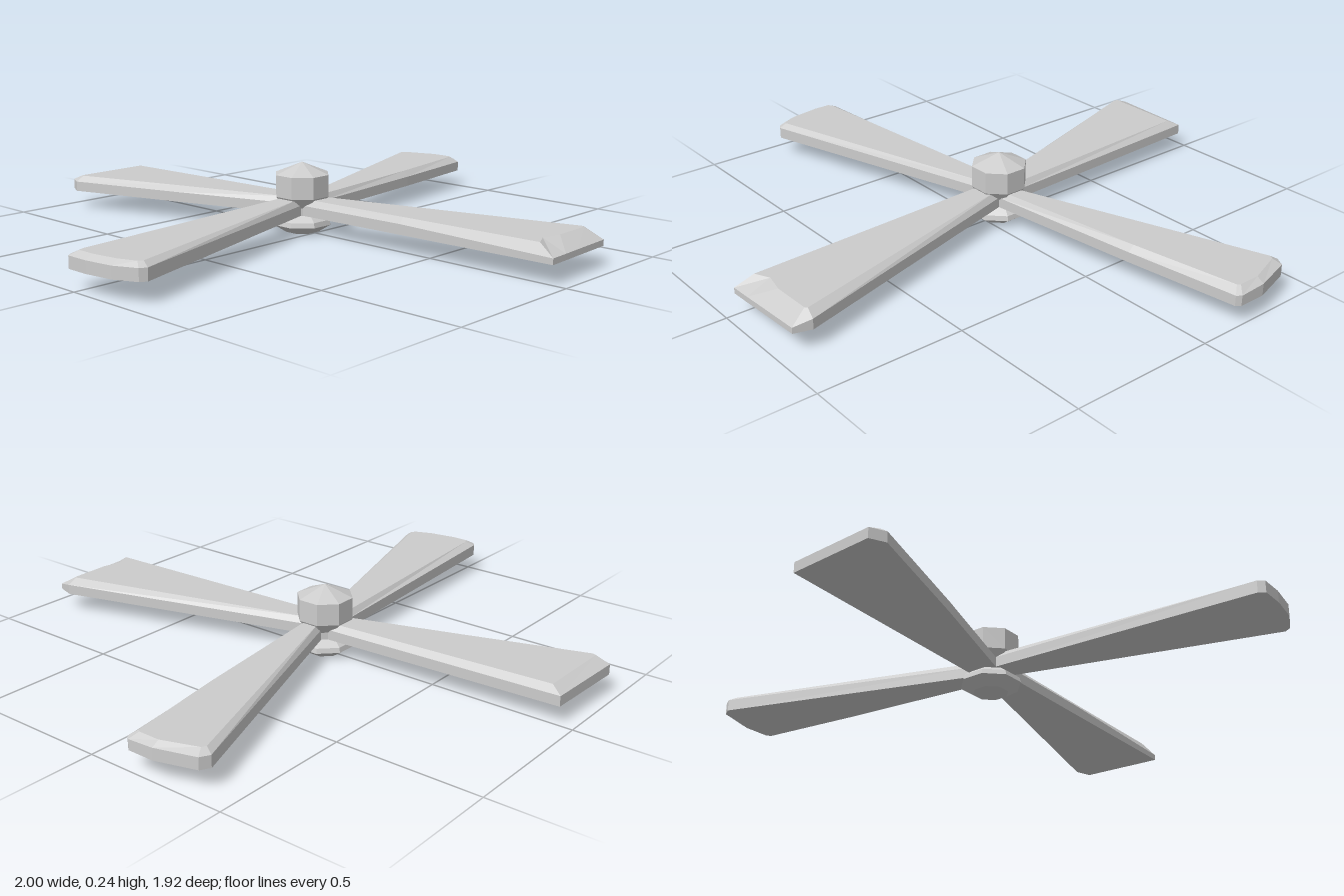
import * as THREE from 'three';

const BOTTOM = 0.065, TOP = 0.12;

// Each blade corner: [x, z, height of the side wall, x of top face, z of top face],
// listed counter-clockwise seen from above, starting and ending at the hub.
const BLADES = {
  frontBlade: [
    [-0.045, -0.02, 0.1, -0.03, -0.02], [-0.03, 0.4, 0.1, -0.012, 0.4],
    [-0.012, 0.96, 0.085, 0.008, 0.9], [0.06, 0.957, 0.085, 0.06, 0.875],
    [0.13, 0.953, 0.085, 0.13, 0.89], [0.29, 0.945, 0.085, 0.268, 0.887],
    [0.308, 0.885, 0.1, 0.275, 0.88], [0.05, -0.02, 0.1, 0.035, -0.02],
  ],
  leftBlade: [
    [0.05, -0.018, 0.1, 0.05, -0.03], [0.6, -0.085, 0.1, 0.6, -0.105],
    [0.985, -0.14, 0.1, 0.965, -0.165], [0.997, -0.155, 0.1, 0.972, -0.175],
    [0.997, -0.25, 0.105, 0.972, -0.25], [0.957, -0.385, 0.105, 0.93, -0.37],
    [0.925, -0.403, 0.105, 0.915, -0.378], [0.05, -0.088, 0.1, 0.05, -0.075],
  ],
  backBlade: [
    [0.044, -0.1, 0.1, 0.03, -0.1], [0.005, -0.955, 0.1, -0.018, -0.915],
    [-0.295, -0.965, 0.1, -0.29, -0.917], [-0.32, -0.915, 0.1, -0.295, -0.905],
    [-0.19, -0.5, 0.1, -0.165, -0.5], [-0.055, -0.1, 0.1, -0.04, -0.1],
  ],
  rightBlade: [
    [-0.05, -0.105, 0.1, -0.05, -0.09], [-0.98, -0.035, 0.105, -0.955, -0.01],
    [-1, -0.02, 0.105, -0.975, 0], [-1, 0.06, 0.105, -0.975, 0.06],
    [-0.985, 0.16, 0.105, -0.96, 0.155], [-0.95, 0.235, 0.105, -0.937, 0.215],
    [-0.928, 0.248, 0.105, -0.922, 0.224], [-0.05, -0.018, 0.1, -0.05, -0.03],
  ],
};

// Flat underside, upright side wall, bevel and inset top face
function bladeGeometry(points) {
  const layers = [
    points.map(([x, z]) => [x, BOTTOM, z]),
    points.map(([x, z, y]) => [x, y, z]),
    points.map(([, , , x, z]) => [x, TOP, z]),
  ];
  const out = [];
  const tri = (a, b, c) => out.push(...a, ...b, ...c);
  for (let k = 0; k < 2; k++) {
    points.forEach((_, i) => {
      const j = (i + 1) % points.length;
      const lo = layers[k], hi = layers[k + 1];
      tri(lo[i], lo[j], hi[j]);
      tri(lo[i], hi[j], hi[i]);
    });
  }
  const cap = (layer, up) => {
    const flat = layer.map(([x, , z]) => new THREE.Vector2(x, -z));
    for (const [a, b, c] of THREE.ShapeUtils.triangulateShape(flat, [])) {
      if (up) tri(layer[a], layer[b], layer[c]);
      else tri(layer[a], layer[c], layer[b]);
    }
  };
  cap(layers[0], false);
  cap(layers[2], true);
  const geometry = new THREE.BufferGeometry();
  geometry.setAttribute('position', new THREE.Float32BufferAttribute(out, 3));
  geometry.computeVertexNormals();
  return geometry;
}

export function createModel() {
  const group = new THREE.Group();
  const material = new THREE.MeshStandardMaterial({ color: 0xcccccc, flatShading: true });

  // Eight-sided hub: flared foot, narrow neck, upright body and pointed cap
  const profile = [
    [0, 0], [0.06, 0], [0.104, 0.028], [0.1, 0.045], [0.07, 0.065],
    [0.07, 0.09], [0.096, 0.125], [0.096, 0.2], [0, 0.24],
  ].map(([r, y]) => new THREE.Vector2(r, y));
  const hub = new THREE.Mesh(new THREE.LatheGeometry(profile, 8, Math.PI / 8), material);
  hub.name = 'hub';
  hub.position.z = -0.06;
  group.add(hub);

  for (const [name, points] of Object.entries(BLADES)) {
    const blade = new THREE.Mesh(bladeGeometry(points), material);
    blade.name = name;
    group.add(blade);
  }
  return group;
}
